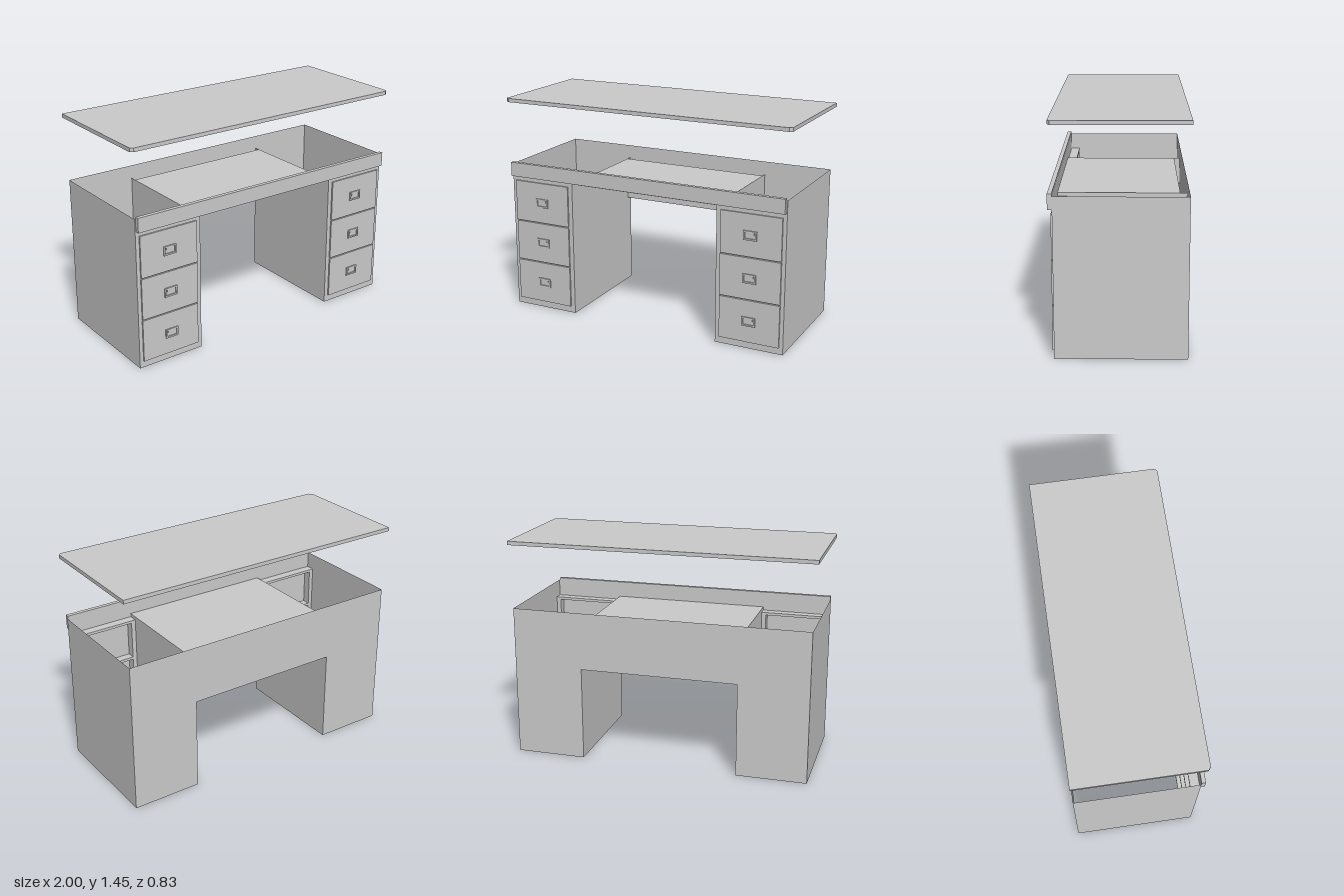
import * as THREE from 'three';

const material = new THREE.MeshStandardMaterial({ color: 0xcccccc, flatShading: true, side: THREE.DoubleSide });

function add(parent, name, geometry) {
  const mesh = new THREE.Mesh(geometry, material);
  mesh.name = name;
  parent.add(mesh);
  return mesh;
}

// box given by its limits on each axis
function block(parent, name, [x0, x1], [y0, y1], [z0, z1]) {
  const mesh = add(parent, name, new THREE.BoxGeometry(x1 - x0, y1 - y0, z1 - z0));
  mesh.position.set((x0 + x1) / 2, (y0 + y1) / 2, (z0 + z1) / 2);
  return mesh;
}

function polygon(points) {
  return new THREE.Shape(points.map(([x, y]) => new THREE.Vector2(x, y)));
}

function rectPath(x0, x1, y0, y1) {
  const path = new THREE.Path();
  path.moveTo(x0, y0).lineTo(x0, y1).lineTo(x1, y1).lineTo(x1, y0).closePath();
  return path;
}

const W = 0.98, INNER = 0.52, FRONT = 0.39, BACK = -0.41, NICHE = -0.37;
const DRAWERS = [[0.045, 0.325], [0.332, 0.605], [0.612, 0.888]];
const HANDLES = [0.185, 0.47, 0.75];

// sheet with a knee opening below the given height
function archShape(kneeTop) {
  return polygon([[-W, 0], [-INNER, 0], [-INNER, kneeTop], [INNER, kneeTop],
    [INNER, 0], [W, 0], [W, 1], [-W, 1]]);
}

// thin vertical wall facing sideways
function sideWall(parent, name, x, y0, y1) {
  const wall = add(parent, name, new THREE.PlaneGeometry(FRONT - BACK, y1 - y0));
  wall.rotation.y = Math.sign(x) * Math.PI / 2;
  wall.position.set(x, (y0 + y1) / 2, (FRONT + BACK) / 2);
}

function labelPull() {
  const shape = polygon([[-0.045, -0.03], [0.045, -0.03], [0.045, 0.03], [-0.045, 0.03]]);
  shape.holes.push(rectPath(-0.035, 0.035, -0.02, 0.02));
  return new THREE.ExtrudeGeometry(shape, { depth: 0.008, bevelEnabled: false });
}

function pedestal(side) {
  const group = new THREE.Group();
  group.name = side > 0 ? 'leftPedestal' : 'rightPedestal';
  const span = (a, b) => (side > 0 ? [a, b] : [-b, -a]);

  sideWall(group, 'outerWall', side * W, 0, 1);
  sideWall(group, 'innerWall', side * INNER, 0, 0.91);

  // frame behind the drawer fronts
  block(group, 'outerPost', span(0.95, 0.979), [0.03, 0.87], [0.33, 0.389]);
  block(group, 'innerPost', span(0.521, 0.55), [0.03, 0.87], [0.33, 0.389]);
  for (const y of [0.03, 0.321, 0.6, 0.87]) {
    block(group, 'frameRail', span(0.521, 0.979), [y, y + 0.018], [0.33, 0.389]);
  }

  // drawer fronts with pulls
  DRAWERS.forEach(([y0, y1], i) => {
    block(group, 'drawerFront', span(0.55, 0.955), [y0, y1], [0.385, 0.4]);
    const pull = add(group, 'drawerPull', labelPull());
    pull.position.set(side * 0.75, HANDLES[i], 0.4);
    block(group, 'pullLip', span(0.722, 0.778), [HANDLES[i] + 0.005, HANDLES[i] + 0.02], [0.4, 0.406]);
  });
  return group;
}

export function createModel() {
  const desk = new THREE.Group();
  desk.name = 'desk';
  desk.add(pedestal(1), pedestal(-1));

  // back sheet and front sheet with drawer openings
  add(desk, 'backPanel', new THREE.ShapeGeometry(archShape(0.62))).position.z = BACK;
  const frontShape = archShape(0.91);
  for (const side of [1, -1]) {
    for (const [y0, y1] of DRAWERS) {
      const xs = [side * 0.56, side * 0.945].sort((a, b) => a - b);
      frontShape.holes.push(rectPath(xs[0], xs[1], y0 + 0.01, y1 - 0.01));
    }
  }
  add(desk, 'frontPanel', new THREE.ShapeGeometry(frontShape)).position.z = FRONT;

  // knee space: modesty panel, its lower edge and the ceiling
  const modesty = add(desk, 'modestyPanel', new THREE.PlaneGeometry(2 * INNER, 0.29));
  modesty.position.set(0, 0.765, NICHE);
  const edge = add(desk, 'modestyPanelEdge', new THREE.PlaneGeometry(2 * INNER, NICHE - BACK));
  edge.rotation.x = Math.PI / 2;
  edge.position.set(0, 0.62, (NICHE + BACK) / 2);
  const ceiling = add(desk, 'kneeCeiling', new THREE.PlaneGeometry(2 * INNER, FRONT - NICHE));
  ceiling.rotation.x = -Math.PI / 2;
  ceiling.position.set(0, 0.91, (FRONT + NICHE) / 2);

  // apron along the front
  block(desk, 'frontApron', [-0.975, 0.975], [0.92, 1.015], [0.391, 0.418]);

  // raised desktop with clipped front corners
  const top = polygon([[-1, 0.415], [1, 0.415], [1, -0.395], [0.98, -0.41], [-0.98, -0.41], [-1, -0.395]]);
  const desktop = add(desk, 'desktop', new THREE.ExtrudeGeometry(top, { depth: 0.025, bevelEnabled: false }));
  desktop.rotation.x = -Math.PI / 2;
  desktop.position.y = 1.42;
  return desk;
}
